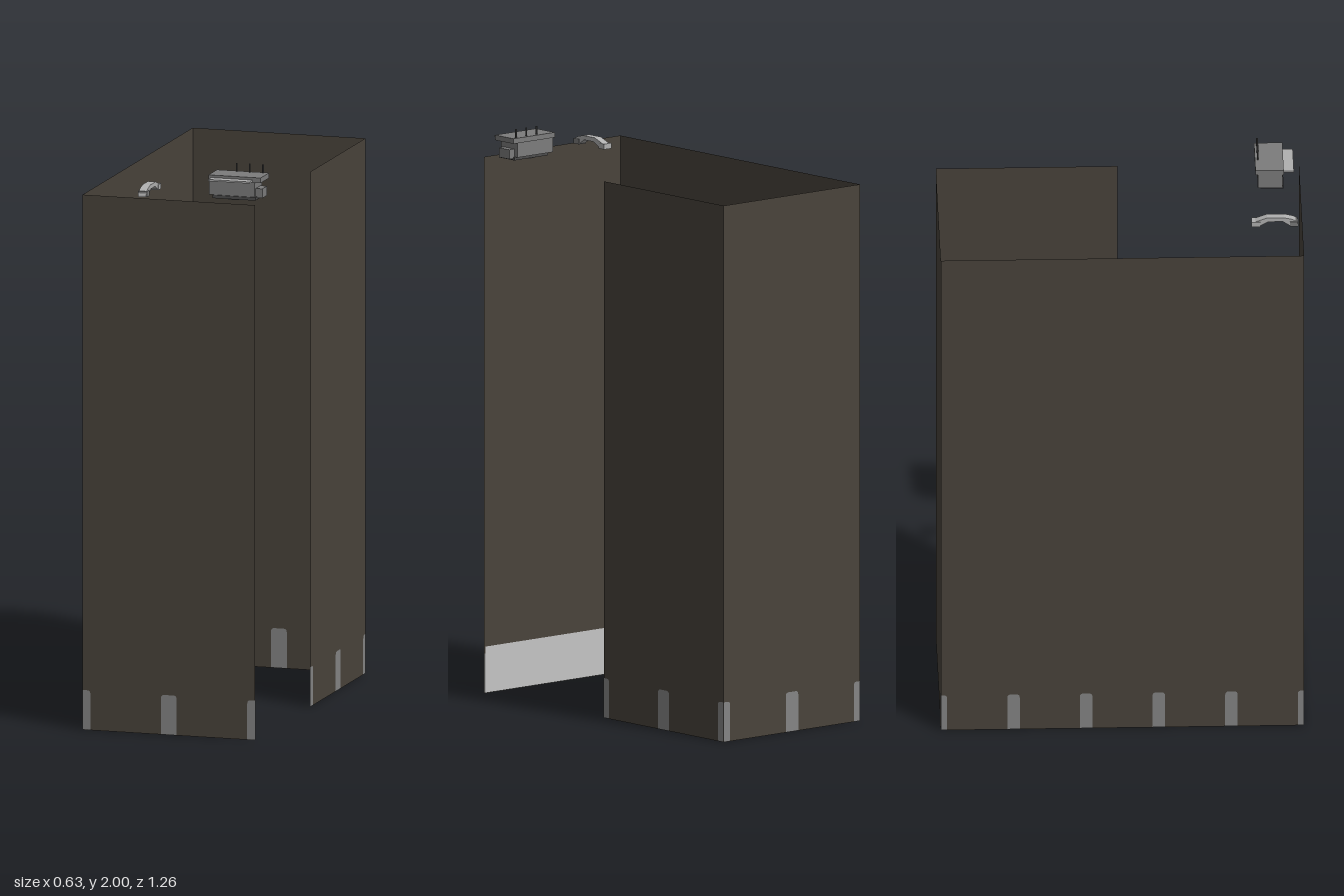
import * as THREE from 'three';

const mat = (name, color, side = THREE.FrontSide) => {
  const m = new THREE.MeshStandardMaterial({ color, side });
  m.name = name;
  return m;
};

export function createModel() {
  const root = new THREE.Group();
  root.name = 'panelEnclosure';
  const brown = mat('darkBrown', 0x49433b, THREE.DoubleSide);
  const tabGrey = mat('tabGrey', 0x858585, THREE.DoubleSide);
  const pale = mat('paleGrey', 0xc4c4c4, THREE.DoubleSide);
  const grey = mat('midGrey', 0x7c7c7c);
  const light = mat('lightGrey', 0xb0b0b0);
  const dark = mat('darkGrey', 0x4c4c4c);

  const X = 0.313, Z = 0.628, H = 1.885;

  const add = (parent, name, geo, material, x = 0, y = 0, z = 0) => {
    const m = new THREE.Mesh(geo, material);
    m.name = name;
    m.position.set(x, y, z);
    parent.add(m);
    return m;
  };
  const box = (parent, name, material, x0, x1, y0, y1, z0, z1) =>
    add(parent, name, new THREE.BoxGeometry(x1 - x0, y1 - y0, z1 - z0), material,
      (x0 + x1) / 2, (y0 + y1) / 2, (z0 + z1) / 2);

  // Round-shouldered tab, cut to the given span
  const tabGeometry = (a, b, h) => {
    const r = 0.012, s = new THREE.Shape();
    s.moveTo(a, 0.001);
    s.lineTo(b, 0.001);
    s.lineTo(b, b > 0 ? h - r : h);
    if (b > 0) s.quadraticCurveTo(b, h, b - r, h);
    s.lineTo(a < 0 ? a + r : a, h);
    if (a < 0) s.quadraticCurveTo(a, h, a, h - r);
    return new THREE.ShapeGeometry(s, 4);
  };

  // Sheet wall with evenly spaced tabs along the foot, on both faces
  const wall = (name, width, x, z, turn, intervals, tabWidth) => {
    const g = new THREE.Group();
    g.name = name;
    g.position.set(x, 0, z);
    g.rotation.y = turn;
    add(g, name + 'Sheet', new THREE.PlaneGeometry(width, H), brown, 0, H / 2, 0);
    for (let i = 0; i <= intervals; i++) {
      const geo = tabGeometry(i === 0 ? 0 : -tabWidth / 2, i === intervals ? 0 : tabWidth / 2, 0.14);
      for (const side of [-1, 1])
        add(g, name + 'Tab', geo, tabGrey, -width / 2 + width * i / intervals, 0, side * 0.0015);
    }
    root.add(g);
    return g;
  };
  const front = wall('frontWall', 2 * X, 0, Z, 0, 2, 0.057);
  wall('backWall', 2 * X, 0, -Z, Math.PI, 2, 0.057);
  wall('longSideWall', 2 * Z, -X, 0, -Math.PI / 2, 5, 0.043);
  wall('shortSideWall', Z, X, -Z / 2, Math.PI / 2, 2, 0.057);

  // Pale skirting inside the front wall
  add(front, 'skirting', new THREE.PlaneGeometry(2 * X - 0.004, 0.163), pale, 0, 0.083, -0.004);

  // Boxy device at the top edge
  const device = new THREE.Group();
  device.name = 'device';
  root.add(device);
  box(device, 'deviceBody', grey, 0.125, 0.29, 1.9, 1.952, 0.48, 0.565);
  box(device, 'deviceLid', grey, 0.125, 0.314, 1.952, 1.97, 0.472, 0.57);
  box(device, 'deviceEnd', grey, 0.29, 0.314, 1.895, 1.928, 0.495, 0.55);
  box(device, 'deviceBase', dark, 0.14, 0.295, 1.889, 1.9, 0.49, 0.57);
  box(device, 'frontLip', light, 0.135, 0.285, 1.955, 1.961, 0.57, 0.605);
  const bulge = add(device, 'roundedUnderside',
    new THREE.CylinderGeometry(0.05, 0.05, 0.06, 20, 1, false), grey, 0.21, 1.9, 0.53);
  bulge.rotation.x = Math.PI / 2;
  bulge.scale.z = 0.3;
  for (const x of [0.2, 0.247, 0.295])
    add(device, 'pin', new THREE.CylinderGeometry(0.003, 0.003, 0.032, 8), dark, x, 1.984, 0.482);

  // Arched grab handle
  const handle = new THREE.Group();
  handle.name = 'handle';
  root.add(handle);
  const arch = new THREE.Shape();
  arch.moveTo(0.615, 1.887);
  arch.quadraticCurveTo(0.614, 1.908, 0.59, 1.915);
  arch.lineTo(0.565, 1.921);
  arch.lineTo(0.505, 1.921);
  arch.lineTo(0.48, 1.912);
  arch.lineTo(0.455, 1.902);
  arch.lineTo(0.452, 1.887);
  arch.lineTo(0.48, 1.889);
  arch.lineTo(0.51, 1.906);
  arch.lineTo(0.56, 1.906);
  arch.lineTo(0.588, 1.887);
  const bar = new THREE.ExtrudeGeometry(arch, { depth: 0.028, bevelEnabled: false, curveSegments: 6 });
  bar.rotateY(-Math.PI / 2);
  add(handle, 'handleBar', bar, light, -0.087);
  box(handle, 'handleRearFoot', light, -0.118, -0.085, 1.887, 1.906, 0.452, 0.482);
  box(handle, 'handleFrontFoot', grey, -0.118, -0.085, 1.887, 1.906, 0.585, 0.612);
  return root;
}
